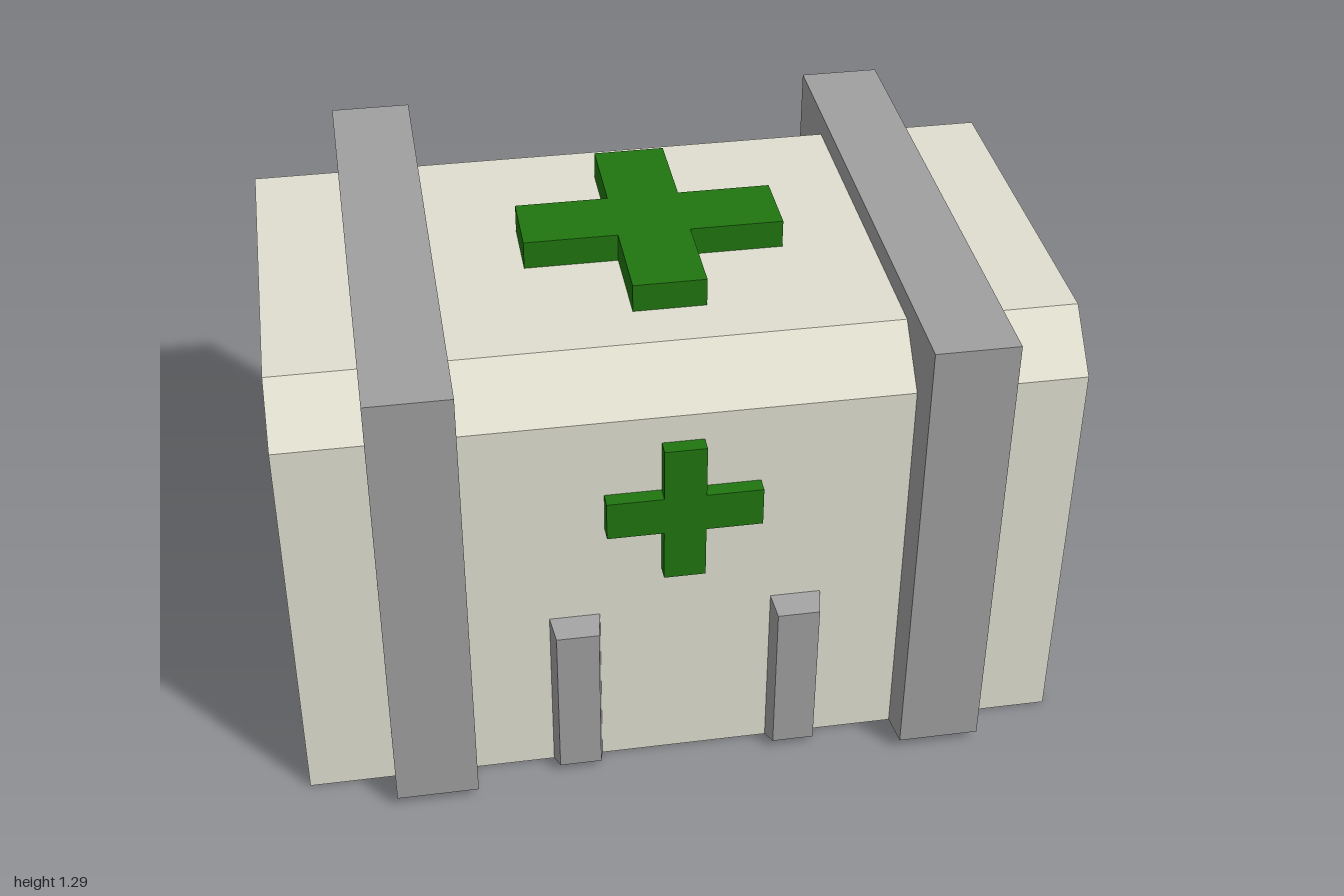
import * as THREE from 'three';

const material = (color) => new THREE.MeshStandardMaterial({ color, flatShading: true });

function shapeOf(points) {
  return new THREE.Shape(points.map(([x, y]) => new THREE.Vector2(x, y)));
}

// Extrudes a [z, y] side profile along x, from x0 to x1
function extrudeAlongX(profile, x0, x1) {
  const shape = shapeOf(profile.map(([z, y]) => [-z, y]));
  return new THREE.ExtrudeGeometry(shape, { depth: x1 - x0, bevelEnabled: false })
    .rotateY(Math.PI / 2)
    .translate(x0, 0, 0);
}

// Plus sign with half length r and half arm width a, rising along +z from 0
function crossGeometry(r, a, depth) {
  const shape = shapeOf([
    [-a, -r], [a, -r], [a, -a], [r, -a], [r, a], [a, a],
    [a, r], [-a, r], [-a, a], [-r, a], [-r, -a], [-a, -a],
  ]);
  return new THREE.ExtrudeGeometry(shape, { depth, bevelEnabled: false });
}

export function createModel() {
  const group = new THREE.Group();
  const cream = material(0xe0decf);
  const grey = material(0x9f9f9f);
  const green = material(0x207510);

  const add = (name, geometry, mat) => {
    const mesh = new THREE.Mesh(geometry, mat);
    mesh.name = name;
    group.add(mesh);
    return mesh;
  };

  // Box body with bevelled front and back top edges
  const z = 0.607;
  add('body', extrudeAlongX([
    [-z, 0], [z, 0], [z, 1.09], [0.475, 1.22], [-0.475, 1.22], [-z, 1.09],
  ], -1, 1), cream);

  // Straps wrapping the front, top and back, square at the upper corners
  const strap = [
    [z, 0], [0.72, 0.03], [0.72, 1.28], [-0.72, 1.28], [-0.72, 0.03], [-z, 0],
    [-z, 1.09], [-0.475, 1.22], [0.475, 1.22], [z, 1.09],
  ];
  add('leftStrap', extrudeAlongX(strap, 0.565, 0.777), grey);
  add('rightStrap', extrudeAlongX(strap, -0.777, -0.565), grey);

  // Upright front clips, tapering towards their outer face
  for (const [name, x] of [['leftClip', 0.285], ['rightClip', -0.288]]) {
    const clip = new THREE.BoxGeometry(0.13, 0.49, 0.055);
    const p = clip.attributes.position;
    for (let i = 0; i < p.count; i++) {
      if (p.getZ(i) > 0) {
        p.setX(i, p.getX(i) * 0.84);
        p.setY(i, p.getY(i) * 0.9);
      }
    }
    add(name, clip, grey).position.set(x, 0.245, z + 0.0275);
  }

  // Raised crosses on the lid, front and back
  add('topCross', crossGeometry(0.334, 0.093, 0.075), green).position.y = 1.22;
  group.getObjectByName('topCross').rotation.x = -Math.PI / 2;
  add('frontCross', crossGeometry(0.196, 0.053, 0.04), green).position.set(-0.012, 0.818, z);
  const backCross = add('backCross', crossGeometry(0.196, 0.053, 0.04), green);
  backCross.position.set(-0.012, 0.818, -z);
  backCross.rotation.y = Math.PI;

  return group;
}
